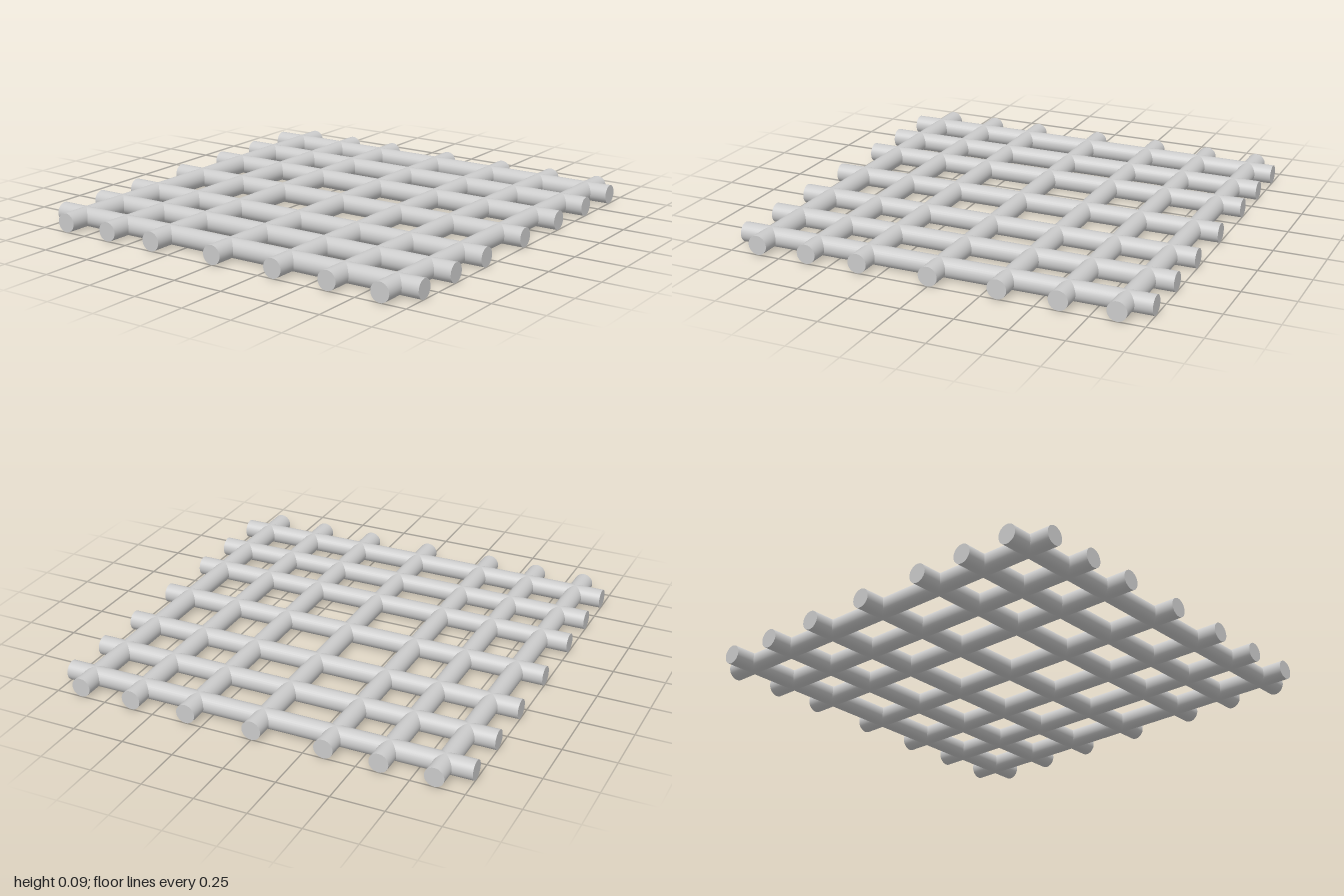
import * as THREE from 'three';

const RADIUS = 0.046;
const LENGTH = 2;
// Bar offsets from the centre, shared by both directions
const OFFSETS = [-0.86, -0.607, -0.348, 0, 0.328, 0.61, 0.873];

export function createModel() {
  const grate = new THREE.Group();
  grate.name = 'grate';
  const material = new THREE.MeshStandardMaterial({ color: 0xcccccc });

  // Round bar with flat ends, lying along x or z
  const alongX = new THREE.CylinderGeometry(RADIUS, RADIUS, LENGTH, 32).rotateZ(Math.PI / 2);
  const alongZ = new THREE.CylinderGeometry(RADIUS, RADIUS, LENGTH, 32).rotateX(Math.PI / 2);

  const addBar = (parent, geometry, name, x, z) => {
    const bar = new THREE.Mesh(geometry, material);
    bar.name = name;
    bar.position.set(x, RADIUS, z);
    parent.add(bar);
  };

  const crossBars = new THREE.Group();
  crossBars.name = 'crossBars';
  const longBars = new THREE.Group();
  longBars.name = 'longBars';

  // The cross bars use the same spacing, mirrored front to back
  OFFSETS.forEach((offset, i) => {
    addBar(crossBars, alongX, `crossBar${i + 1}`, 0, -offset);
    addBar(longBars, alongZ, `longBar${i + 1}`, offset, 0);
  });

  grate.add(crossBars, longBars);
  return grate;
}
